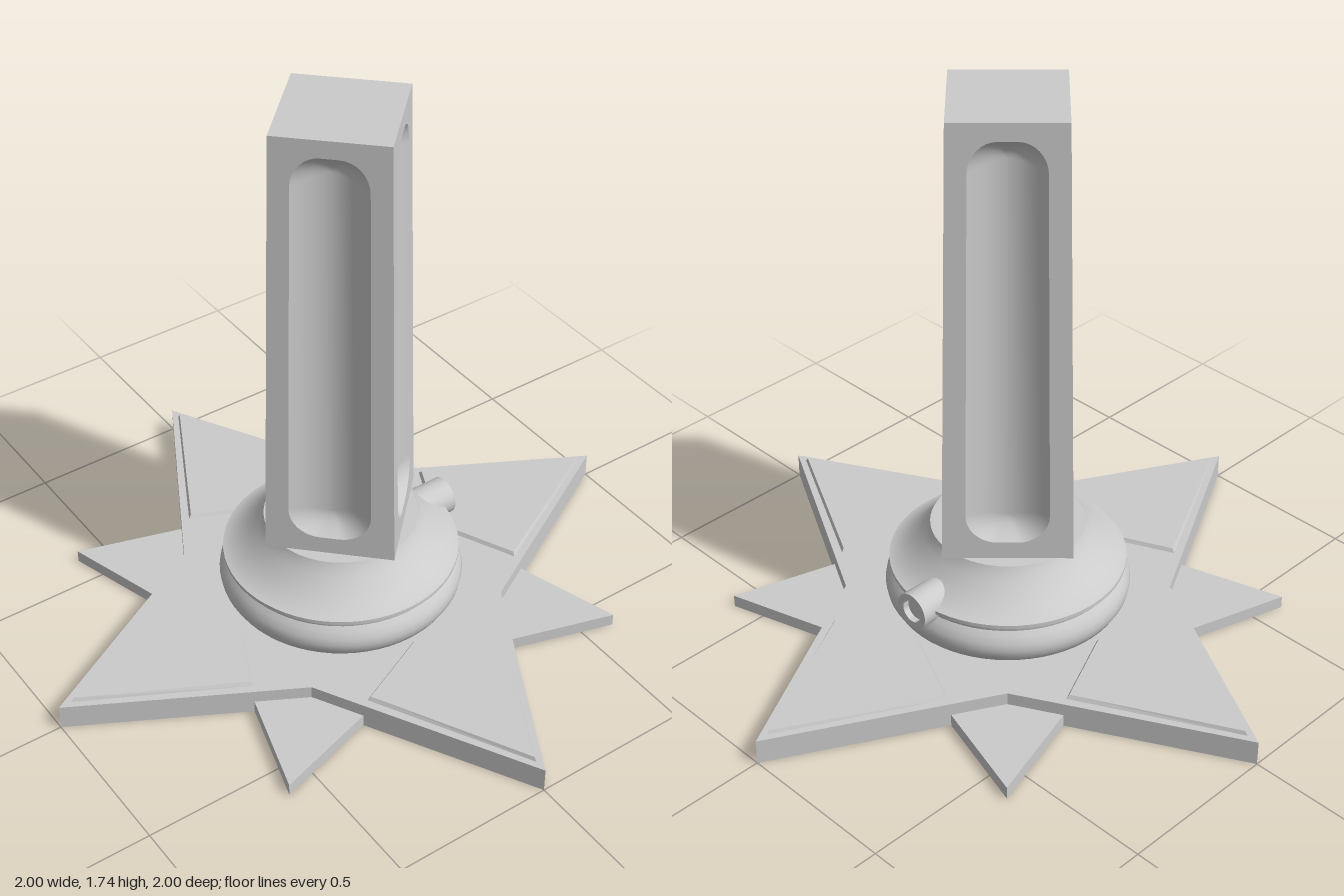
import * as THREE from 'three';
import { toCreasedNormals } from 'three/addons/utils/BufferGeometryUtils.js';

const material = new THREE.MeshStandardMaterial({ color: 0xcccccc });

function part(name, geometry) {
  const mesh = new THREE.Mesh(geometry, material);
  mesh.name = name;
  return mesh;
}

const toPoints = list => list.map(p => new THREE.Vector2(...p));
const lathe = (pts, segments) => toCreasedNormals(new THREE.LatheGeometry(toPoints(pts), segments), 0.6);

// Corners of a four-pointed star
function starPoints(outer, inner) {
  const pts = [];
  for (let i = 0; i < 8; i++) {
    const r = i % 2 ? inner : outer, a = i * Math.PI / 4;
    pts.push(new THREE.Vector2(r * Math.cos(a), r * Math.sin(a)));
  }
  return pts;
}

// Flat slab between two heights, with an optional opening
function slab(points, y0, y1, opening) {
  const shape = new THREE.Shape(points);
  if (opening) shape.holes.push(new THREE.Path(opening));
  return new THREE.ExtrudeGeometry(shape, { depth: y1 - y0, bevelEnabled: false })
    .rotateX(-Math.PI / 2).translate(0, y0, 0);
}

// Raised kite panel with a chamfered top edge
function kitePanel() {
  const shape = new THREE.Shape(toPoints([[0, -0.96], [0.25, -0.49], [0, -0.375], [-0.25, -0.49]]));
  return new THREE.ExtrudeGeometry(shape, {
    depth: 0.01, bevelThickness: 0.012, bevelSize: 0.007, bevelOffset: -0.007, bevelSegments: 1,
  }).rotateX(-Math.PI / 2).translate(0, 0.07, 0);
}

// Tapered column: corner radius at bottom and top
const Y0 = 0.337, Y1 = 1.74, R0 = 0.275, R1 = 0.236;
const HALF = R0 * Math.SQRT1_2;
const NICHE = { hw: 0.125, y0: 0.393, y1: 1.686, r: 0.095, depth: 0.048 };

// Lean and taper a flat panel onto one side of the column
function fitToSide(geometry) {
  const p = geometry.attributes.position;
  for (let i = 0; i < p.count; i++) {
    const t = (p.getY(i) - Y0) / (Y1 - Y0);
    const half = (R0 + (R1 - R0) * t) * Math.SQRT1_2;
    p.setX(i, p.getX(i) * half / HALF);
    p.setZ(i, p.getZ(i) + half);
  }
  geometry.computeVertexNormals();
  return geometry;
}

// Rounded rectangle of the niche; k runs from the rim (0) to the middle (1)
function nicheOutline(k) {
  const { hw, y0, y1, r } = NICHE, pts = [], steps = 8;
  const rad = r * (1 - k), w = hw * (1 - k) - rad;
  const h = (y1 - y0) / 2 - 0.55 * hw * k - rad, cy = (y0 + y1) / 2;
  [[1, 1], [-1, 1], [-1, -1], [1, -1]].forEach(([sx, sy], q) => {
    for (let i = 0; i <= steps; i++) {
      const a = (q + i / steps) * Math.PI / 2;
      pts.push(new THREE.Vector2(sx * w + rad * Math.cos(a), cy + sy * h + rad * Math.sin(a)));
    }
  });
  return pts;
}

function sideFrame() {
  const shape = new THREE.Shape(toPoints([[-HALF, Y0], [HALF, Y0], [HALF, Y1], [-HALF, Y1]]));
  shape.holes.push(new THREE.Path(nicheOutline(0)));
  return fitToSide(new THREE.ShapeGeometry(shape));
}

// Concave scoop made of shrinking, deepening rings
function nicheScoop() {
  const rings = 12, pos = [], index = [];
  let n = 0;
  for (let j = 0; j <= rings; j++) {
    const k = 0.999 * j / rings, ring = nicheOutline(k);
    n = ring.length;
    ring.forEach(p => pos.push(p.x, p.y, -NICHE.depth * (1 - (1 - k) ** 2)));
  }
  for (let j = 0; j < rings; j++) {
    for (let i = 0; i < n; i++) {
      const a = j * n + i, b = j * n + (i + 1) % n;
      index.push(a, b, b + n, a, b + n, a + n);
    }
  }
  // close the thin slot left at the deepest ring
  for (let i = 1; i < n - 1; i++) index.push(rings * n, rings * n + i, rings * n + i + 1);
  const geometry = new THREE.BufferGeometry();
  geometry.setAttribute('position', new THREE.Float32BufferAttribute(pos, 3));
  geometry.setIndex(index);
  return fitToSide(geometry);
}

export function createModel() {
  const model = new THREE.Group();
  model.name = 'starBasedColumn';

  // Star base: slab on a thin rim with a hollow underside
  const outline = starPoints(1, 0.5);
  model.add(part('mainStar', slab(outline, 0.04, 0.08)));
  model.add(part('mainStarRim', slab(outline, 0, 0.04, starPoints(0.96, 0.48))));

  // Raised panels on the main points and low points between them
  const panel = kitePanel();
  const lowPoint = slab(toPoints([[0.6, 0.6], [0.273, 0.502], [0.354, 0.354], [0.502, 0.273]]), 0, 0.04);
  for (let i = 0; i < 4; i++) {
    const point = new THREE.Group();
    point.name = 'starPoint';
    point.add(part('starPanel', panel), part('lowPoint', lowPoint));
    point.rotation.y = i * Math.PI / 2;
    model.add(point);
  }

  // Round moulded foot
  model.add(part('mouldedFoot', lathe([
    [0.34, 0.07], [0.358, 0.085], [0.371, 0.108], [0.375, 0.13], [0.371, 0.152], [0.36, 0.172],
    [0.348, 0.187], [0.35, 0.198], [0.362, 0.205], [0.362, 0.217], [0.345, 0.222], [0.31, 0.245],
    [0.28, 0.272], [0.257, 0.3], [0.241, 0.322], [0.235, Y0], [0, Y0],
  ], 64)));

  // Short socket at the back
  model.add(part('backSocket', lathe([
    [0.058, 0.25], [0.058, 0.4], [0.036, 0.4], [0.036, 0.38], [0, 0.38],
  ], 32).rotateX(-Math.PI / 2).translate(0, 0.207, 0)));

  // Column with a niche on each side
  const column = new THREE.Group();
  column.name = 'column';
  const frame = sideFrame(), scoop = nicheScoop();
  for (let i = 0; i < 4; i++) {
    const side = new THREE.Group();
    side.name = 'columnSide';
    side.add(part('sideFrame', frame), part('niche', scoop));
    side.rotation.y = Math.PI / 4 + i * Math.PI / 2;
    column.add(side);
  }
  column.add(part('columnTop', new THREE.CircleGeometry(R1, 4).rotateX(-Math.PI / 2).translate(0, Y1, 0)));
  column.add(part('columnUnderside', new THREE.CircleGeometry(R0, 4).rotateX(Math.PI / 2).translate(0, Y0, 0)));
  model.add(column);

  return model;
}
